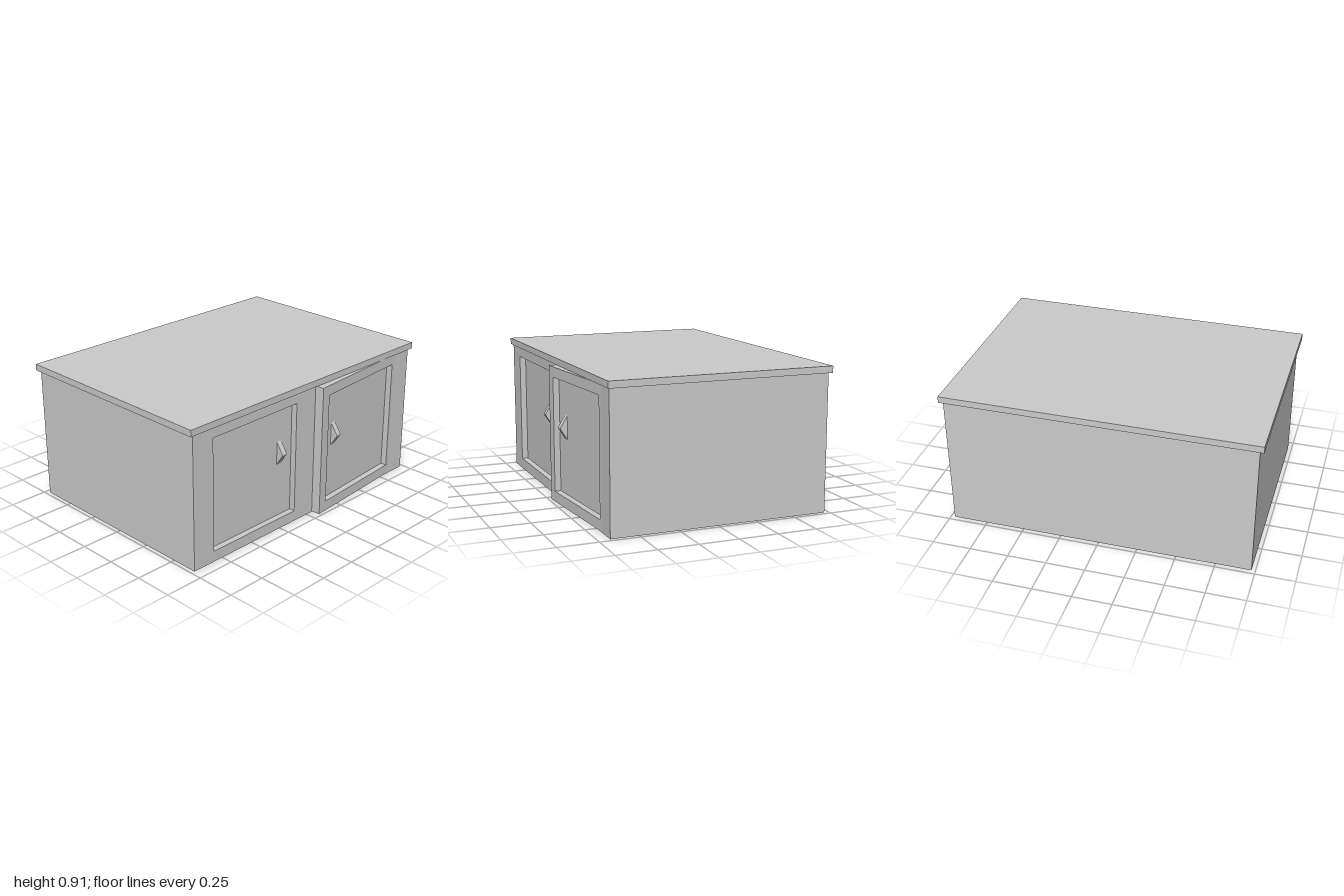
import * as THREE from 'three';

const material = new THREE.MeshStandardMaterial({ color: 0xcccccc, flatShading: true });

// Box given by its minimum and maximum corners
function box(name, [x0, y0, z0], [x1, y1, z1]) {
  const mesh = new THREE.Mesh(new THREE.BoxGeometry(x1 - x0, y1 - y0, z1 - z0), material);
  mesh.name = name;
  mesh.position.set((x0 + x1) / 2, (y0 + y1) / 2, (z0 + z1) / 2);
  return mesh;
}

function trace(path, [x0, y0, x1, y1]) {
  path.moveTo(x0, y0);
  path.lineTo(x1, y0);
  path.lineTo(x1, y1);
  path.lineTo(x0, y1);
  path.closePath();
  return path;
}

// Flat board with rectangular openings, from zBack to zFront
function frame(name, outer, holes, zBack, zFront) {
  const shape = trace(new THREE.Shape(), outer);
  shape.holes = holes.map((h) => trace(new THREE.Path(), h));
  const geometry = new THREE.ExtrudeGeometry(shape, { depth: zFront - zBack, bevelEnabled: false });
  geometry.translate(0, 0, zBack);
  const mesh = new THREE.Mesh(geometry, material);
  mesh.name = name;
  return mesh;
}

// Pointed pull: a triangular side profile (z, y) extruded along x
function handle(name, x, z) {
  const width = 0.037;
  const profile = new THREE.Shape([[0, 0.423], [0.046, 0.495], [0.046, 0.503], [0, 0.575]]
    .map(([a, b]) => new THREE.Vector2(a, b)));
  const geometry = new THREE.ExtrudeGeometry(profile, { depth: width, bevelEnabled: false });
  geometry.rotateY(-Math.PI / 2); // profile now points to +z after the flip below
  geometry.translate(width / 2, 0, 0);
  const mesh = new THREE.Mesh(geometry, material);
  mesh.name = name;
  mesh.position.set(x, 0, z);
  return mesh;
}

export function createModel() {
  const model = new THREE.Group();
  model.name = 'cabinet';

  // Carcass and overhanging top
  model.add(box('carcass', [-0.975, 0, -0.72], [0.975, 0.868, 0.61]));
  model.add(box('top', [-1, 0.868, -0.735], [1, 0.91, 0.69]));

  // Front with the closed door's recess and the opening behind the ajar door
  model.add(frame('frontFrame', [-0.975, 0, 0.975, 0.868],
    [[-0.818, 0.07, -0.118, 0.8], [0.118, 0.07, 0.818, 0.8]], 0.61, 0.676));
  model.add(box('closedDoorPanel', [-0.818, 0.07, 0.605], [-0.118, 0.8, 0.636]));
  model.add(handle('closedDoorHandle', -0.227, 0.636));

  // Door on the left half, slightly ajar
  const door = new THREE.Group();
  door.name = 'ajarDoor';
  door.add(frame('ajarDoorFrame', [0, 0.003, 0.9, 0.866], [[0.065, 0.07, 0.757, 0.8]], -0.065, 0));
  door.add(box('ajarDoorPanel', [0.065, 0.07, -0.065], [0.757, 0.8, -0.04]));
  door.add(handle('ajarDoorHandle', 0.17, -0.04));
  door.position.set(0.055, 0, 0.735);
  door.rotation.y = Math.atan(0.0756);
  model.add(door);

  return model;
}
